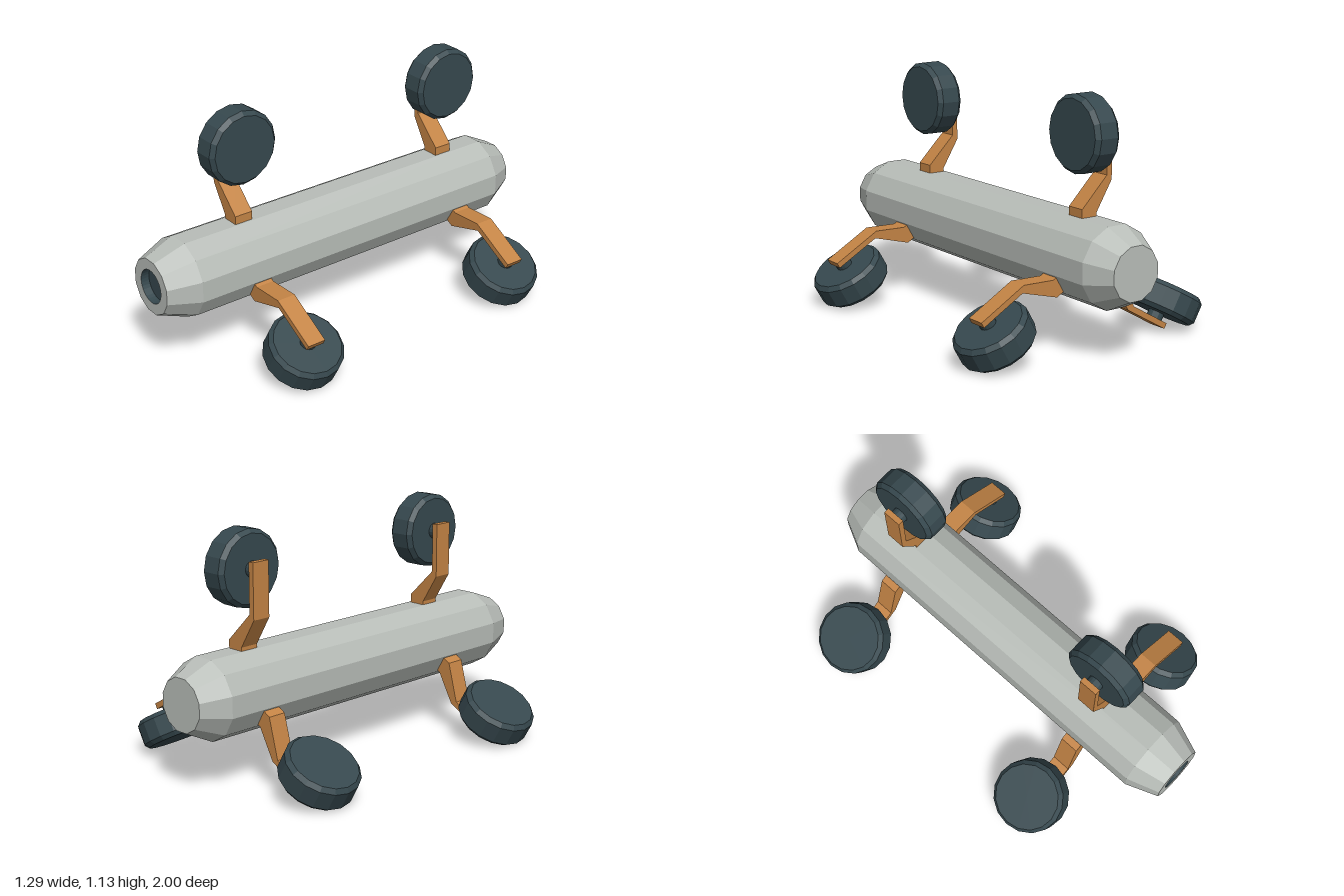
import * as THREE from 'three';

const mat = (name, color) => {
  const m = new THREE.MeshStandardMaterial({ color });
  m.name = name;
  return m;
};

// Split every face so it gets its own flat normal
const flat = (g) => {
  const f = g.index ? g.toNonIndexed() : g;
  f.computeVertexNormals();
  return f;
};

const lathe = (points, sides, phase = 0) =>
  flat(new THREE.LatheGeometry(points.map(([r, h]) => new THREE.Vector2(r, h)), sides, phase));

export function createModel() {
  const grey = mat('light grey', 0xb8bdb8);
  const orange = mat('orange', 0xc48445);
  const dark = mat('dark slate', 0x36484e);

  const model = new THREE.Group();
  model.name = 'pipeCrawler';
  const add = (parent, name, geometry, material) => {
    const mesh = new THREE.Mesh(geometry, material);
    mesh.name = name;
    parent.add(mesh);
    return mesh;
  };

  // Everything is placed around the long body axis
  const core = new THREE.Group();
  core.name = 'core';
  core.position.y = 0.4125;
  model.add(core);

  // Twelve-sided body with tapered ends, flats facing up and sideways
  const k = 1 / Math.cos(Math.PI / 12);
  const rFront = 0.128 * k;
  const rBody = 0.183 * k;
  const hull = lathe(
    [[0, -1], [0.12 * k, -1], [rBody, -0.87], [rBody, 0.85], [rFront, 1]],
    12, Math.PI / 12
  ).rotateX(Math.PI / 2);
  add(core, 'body', hull, grey);

  // Front ring around the round opening
  const ring = new THREE.Shape();
  for (let i = 0; i < 12; i++) {
    const a = ((i + 0.5) / 12) * Math.PI * 2;
    ring[i ? 'lineTo' : 'moveTo'](rFront * Math.cos(a), rFront * Math.sin(a));
  }
  ring.closePath();
  ring.holes.push(new THREE.Path().absarc(0, 0, 0.08, 0, Math.PI * 2, true));
  add(core, 'frontRing', new THREE.ShapeGeometry(ring, 16).translate(0, 0, 1), grey);

  // Recessed front opening
  const socket = lathe([[0.08, 1], [0.08, 0.96], [0, 0.96]], 32).rotateX(Math.PI / 2);
  add(core, 'frontSocket', socket, dark);

  // Cranked strut, extruded along the body axis
  const strutShape = new THREE.Shape([
    [-0.122, 0.588], [-0.122, 0.335], [-0.04, 0.2], [-0.04, 0.165],
    [0.04, 0.165], [0.04, 0.222], [-0.095, 0.357], [-0.095, 0.588],
  ].map(([x, y]) => new THREE.Vector2(x, y)));
  const strutGeo = new THREE.ExtrudeGeometry(strutShape, { depth: 0.09, bevelEnabled: false })
    .translate(0, 0, -0.045);

  // Chamfered wheel and its axle stub
  const wheelGeo = lathe(
    [[0, -0.065], [0.157, -0.065], [0.175, -0.045], [0.175, 0.045], [0.157, 0.065], [0, 0.065]], 16
  ).rotateZ(-Math.PI / 2);
  const axleGeo = flat(new THREE.CylinderGeometry(0.037, 0.037, 0.04, 16)).rotateZ(Math.PI / 2);

  // Two sets of three legs, evenly spaced around the body
  for (const [set, z] of [['front', 0.53], ['back', -0.643]]) {
    ['Top', 'Right', 'Left'].forEach((side, i) => {
      const leg = new THREE.Group();
      leg.name = `${set}${side}Leg`;
      leg.position.z = z;
      leg.rotation.z = (i * Math.PI * 2) / 3;
      core.add(leg);
      add(leg, 'strut', strutGeo, orange);
      add(leg, 'wheel', wheelGeo, dark).position.y = 0.545;
      add(leg, 'axle', axleGeo, dark).position.set(-0.08, 0.545, 0);
    });
  }

  return model;
}
